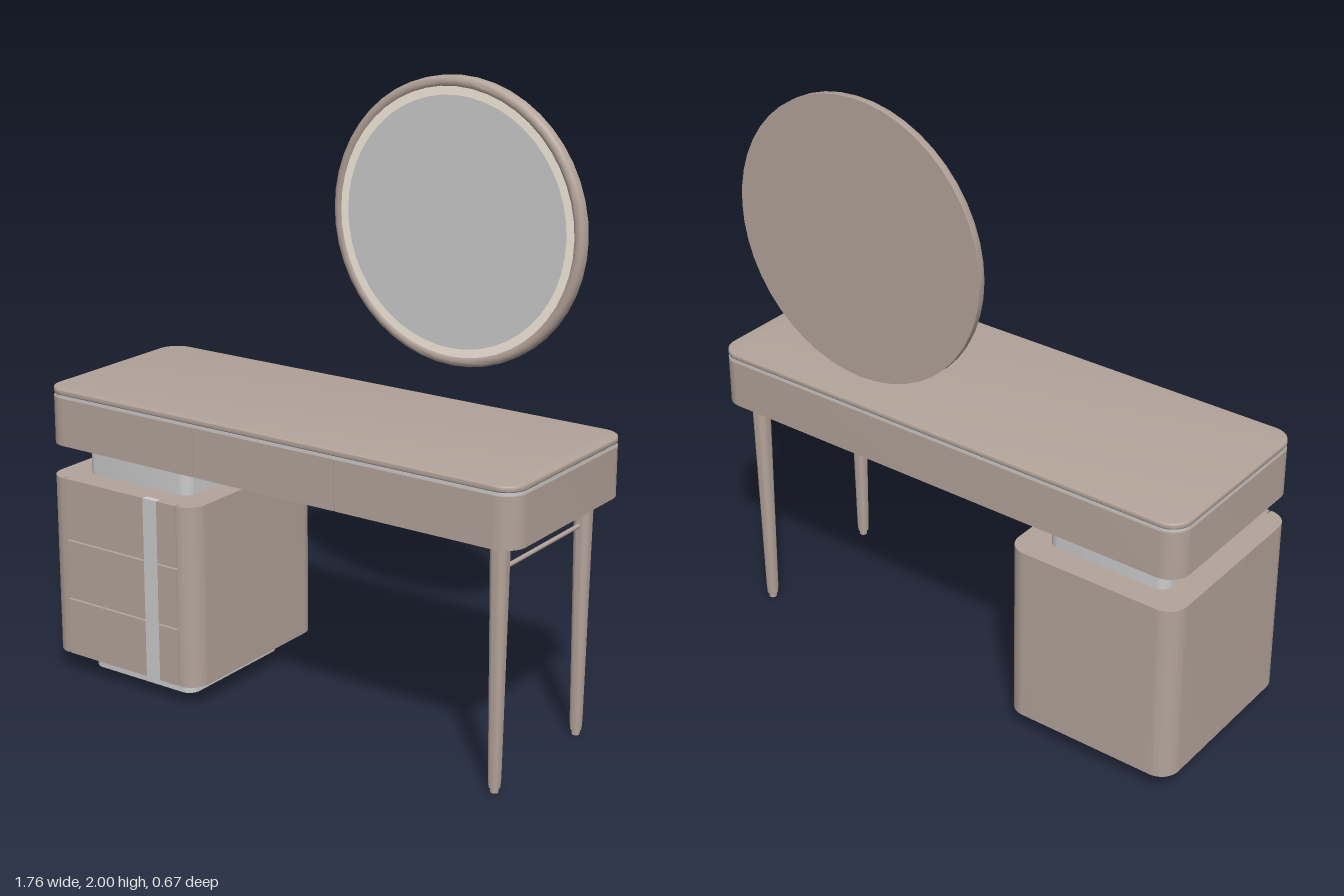
import * as THREE from 'three';
import { toCreasedNormals } from 'three/addons/utils/BufferGeometryUtils.js';

const wood = new THREE.MeshStandardMaterial({ color: 0xb4a49a });
const grey = new THREE.MeshStandardMaterial({ color: 0xcccccc });
const glow = new THREE.MeshStandardMaterial({ color: 0xf8eee0 });

function add(parent, name, geometry, material) {
  const mesh = new THREE.Mesh(geometry, material);
  mesh.name = name;
  parent.add(mesh);
  return mesh;
}

// Upright slab with a rounded plan outline; notch = [x0, x1] cuts a recess into the front
function slab(x0, x1, y0, y1, zBack, zFront, r, { bevel = 0, notch = null, depth = 0.02 } = {}) {
  const b = bevel, l = x0 + b, R = x1 - b, f = -zFront + b, k = -zBack - b, q = r - b;
  const s = new THREE.Shape();
  s.moveTo(l + q, f);
  if (notch) {
    s.lineTo(notch[0], f);
    s.lineTo(notch[0], f + depth);
    s.lineTo(notch[1], f + depth);
    s.lineTo(notch[1], f);
  }
  s.lineTo(R - q, f);
  s.absarc(R - q, f + q, q, -Math.PI / 2, 0);
  s.lineTo(R, k - q);
  s.absarc(R - q, k - q, q, 0, Math.PI / 2);
  s.lineTo(l + q, k);
  s.absarc(l + q, k - q, q, Math.PI / 2, Math.PI);
  s.lineTo(l, f + q);
  s.absarc(l + q, f + q, q, Math.PI, Math.PI * 1.5);
  const g = new THREE.ExtrudeGeometry(s, {
    depth: y1 - y0 - 2 * b, curveSegments: 10,
    bevelEnabled: b > 0, bevelSize: b, bevelThickness: b, bevelSegments: 3,
  });
  g.rotateX(-Math.PI / 2).translate(0, y0 + b, 0);
  return toCreasedNormals(g, 0.6);
}

// Box given by its limits
function block(x0, x1, y0, y1, z0, z1) {
  return new THREE.BoxGeometry(x1 - x0, y1 - y0, z1 - z0)
    .translate((x0 + x1) / 2, (y0 + y1) / 2, (z0 + z1) / 2);
}

function lathe(points, segments) {
  const g = new THREE.LatheGeometry(points.map(([x, y]) => new THREE.Vector2(x, y)), segments);
  return toCreasedNormals(g, 0.6);
}

const BACK = -0.32, FRONT = 0.33, GAP = 0.003;

function createTable() {
  const g = new THREE.Group();
  g.name = 'table';
  add(g, 'tableTop', slab(-0.88, 0.88, 0.96, 0.98, BACK, FRONT, 0.07, { bevel: 0.005 }), wood);
  // Grey core shows in the shadow gap under the top and as the underside panel
  add(g, 'tableCore', slab(-0.87, 0.87, 0.787, 0.962, BACK + 0.01, FRONT - 0.025, 0.06), grey);
  add(g, 'shadowGapTrim', slab(-0.875, 0.875, 0.945, 0.962, BACK + 0.005, FRONT - 0.005, 0.065), grey);
  add(g, 'apron', slab(-0.88, 0.88, 0.79, 0.95, BACK, FRONT, 0.07, { notch: [-0.81, 0.81] }), wood);
  const seams = [-0.81, -0.27, 0.265, 0.81];
  for (let i = 0; i < 3; i++) {
    const right = i === 2 ? seams[3] : seams[i + 1] - GAP;
    add(g, 'apronDrawer', block(seams[i] + GAP, right, 0.79, 0.95, FRONT - 0.02, FRONT), wood);
  }
  return g;
}

function createCabinet() {
  const g = new THREE.Group();
  g.name = 'cabinet';
  add(g, 'cabinetBody', slab(-0.88, -0.275, 0.07, 0.68, BACK, FRONT, 0.065, { notch: [-0.814, -0.34] }), wood);
  add(g, 'plinth', slab(-0.79, -0.365, 0, 0.07, -0.235, 0.24, 0.04), grey);
  add(g, 'neck', slab(-0.79, -0.365, 0.68, 0.79, -0.235, 0.24, 0.04), grey);
  // Three drawer fronts, split by the vertical inlay
  const rows = [0.07, 0.265, 0.47, 0.68];
  for (let i = 0; i < 3; i++) {
    const y0 = rows[i] + (i > 0 ? GAP : 0);
    const y1 = rows[i + 1] - (i < 2 ? GAP : 0);
    add(g, 'drawerFrontWide', block(-0.808, -0.478, y0, y1, FRONT - 0.02, FRONT), wood);
    add(g, 'drawerFrontNarrow', block(-0.422, -0.346, y0, y1, FRONT - 0.02, FRONT), wood);
  }
  add(g, 'inlayStrip', block(-0.478, -0.422, 0.07, 0.68, FRONT - 0.02, FRONT), grey);
  return g;
}

function createLegs() {
  const g = new THREE.Group();
  g.name = 'legs';
  const profile = [[0, 0], [0.013, 0], [0.013, 0.015], [0.018, 0.017], [0.02, 0.05], [0.026, 0.5], [0.03, 0.79], [0, 0.79]];
  for (const z of [0.25, -0.235]) {
    add(g, 'leg', lathe(profile, 24), wood).position.set(0.79, 0, z);
  }
  const bar = new THREE.CylinderGeometry(0.007, 0.007, 0.47, 12).rotateX(Math.PI / 2);
  add(g, 'crossbar', bar, wood).position.set(0.79, 0.698, 0.008);
  return g;
}

function createMirror() {
  const g = new THREE.Group();
  g.name = 'mirror';
  // Backed frame with a softly rounded rim, turned to face forward
  const rim = [[0, 0], [0.455, 0], [0.455, 0.022], [0.452, 0.028], [0.445, 0.033], [0.436, 0.035], [0.424, 0.031], [0.42, 0.026], [0, 0.026]];
  add(g, 'mirrorFrame', lathe(rim, 48).rotateX(Math.PI / 2), wood);
  add(g, 'lightRing', new THREE.RingGeometry(0.397, 0.424, 48), glow).position.z = 0.031;
  add(g, 'mirrorGlass', new THREE.CircleGeometry(0.398, 48), grey).position.z = 0.03;
  g.position.set(0.265, 1.545, -0.335);
  return g;
}

export function createModel() {
  const model = new THREE.Group();
  model.name = 'dressingTable';
  model.add(createTable(), createCabinet(), createLegs(), createMirror());
  return model;
}
